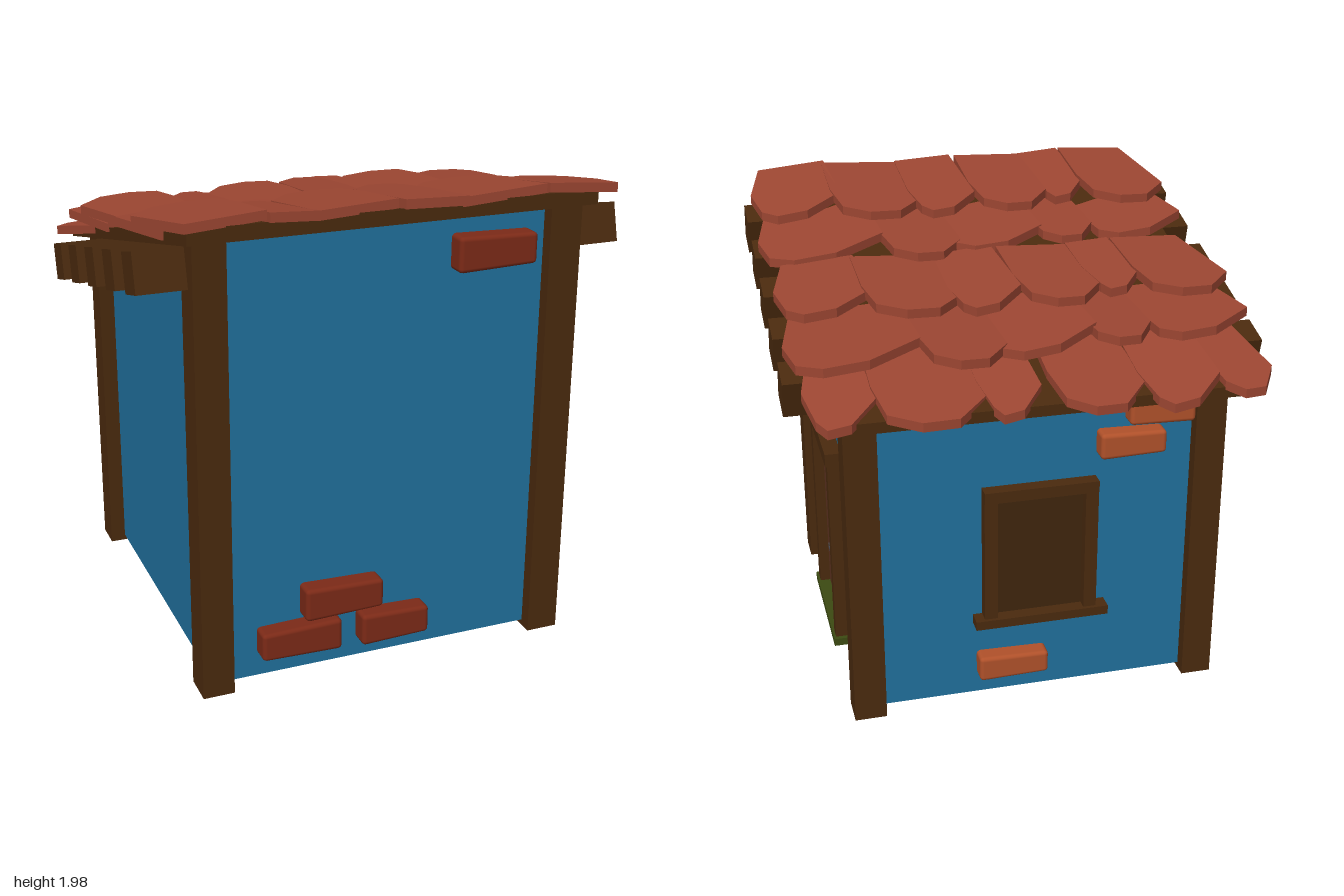
import * as THREE from 'three';
import { RoundedBoxGeometry } from 'three/addons/geometries/RoundedBoxGeometry.js';

const mat = (color, flatShading = false) => new THREE.MeshStandardMaterial({ color, flatShading });
const wallMat = mat(0x20709c);
const woodMat = mat(0x4a2a0e);
const paneMat = mat(0x3f250d);
const doorMat = mat(0x5e3320);
const tileMat = mat(0x9c4632, true);
const redBrick = mat(0x7c2a17);
const orangeBrick = mat(0xb0512a);
const sillMat = mat(0x3c4a12);
const metalMat = mat(0x50505a);

const SLOPE = 0.253;
const roofY = (z) => 1.657 + SLOPE * z; // underside of the roof board

export function createModel() {
  const house = new THREE.Group();
  house.name = 'house';

  const add = (name, geometry, material, parent = house) => {
    const mesh = new THREE.Mesh(geometry, material);
    mesh.name = name;
    parent.add(mesh);
    return mesh;
  };
  const group = (name) => {
    const g = new THREE.Group();
    g.name = name;
    house.add(g);
    return g;
  };
  // Box given by its limits on each axis
  const box = (name, [x0, x1], [y0, y1], [z0, z1], material, parent) => {
    const mesh = add(name, new THREE.BoxGeometry(x1 - x0, y1 - y0, z1 - z0), material, parent);
    mesh.position.set((x0 + x1) / 2, (y0 + y1) / 2, (z0 + z1) / 2);
    return mesh;
  };
  // Side profile of (z, y) points, extruded from x0 to x1
  const prism = (name, points, x0, x1, material, parent) => {
    const shape = new THREE.Shape(points.map(([z, y]) => new THREE.Vector2(z, y)));
    const geo = new THREE.ExtrudeGeometry(shape, { depth: x1 - x0, bevelEnabled: false });
    geo.rotateY(-Math.PI / 2).translate(x1, 0, 0);
    return add(name, geo, material, parent);
  };
  const underRoof = (z0, z1, y) => [[z0, y], [z1, y], [z1, roofY(z1)], [z0, roofY(z0)]];

  // Walls and corner posts, all cut to the roof pitch
  prism('walls', underRoof(-0.61, 0.875, 0.025), -0.735, 0.735, wallMat);
  const posts = group('cornerPosts');
  for (const [x0, x1] of [[-0.8, -0.67], [0.655, 0.79]])
    for (const [z0, z1] of [[-0.665, -0.53], [0.79, 0.93]])
      prism('cornerPost', underRoof(z0, z1, 0), x0, x1, woodMat, posts);

  // Roof board and the rafters below it
  prism('roofBoard', [
    [-0.89, roofY(-0.89)], [0.975, roofY(0.975) - 0.03],
    [0.975, roofY(0.975) + 0.03], [-0.89, roofY(-0.89) + 0.045],
  ], -0.83, 0.83, woodMat);
  const rafters = group('rafters');
  for (let i = 0; i < 5; i++) {
    const rafter = add('rafter', new THREE.BoxGeometry(1.99, 0.158, 0.15), woodMat, rafters);
    rafter.position.set(0, 1.74 - i * 0.0725, 0.782 - i * 0.304);
    rafter.rotation.x = -0.256;
  }

  // Roof tiles: each row has uphill z and y, tip y, and tiles of [x0, x1, tip z]
  const rowA = [[-0.92, -0.53, 0.41], [-0.55, -0.33, 0.48], [-0.36, -0.015, 0.41],
    [-0.02, 0.27, 0.4], [0.22, 0.62, 0.42], [0.58, 0.97, 0.49]];
  const rowB = [[-0.92, -0.48, 0.16], [-0.5, -0.22, 0.15], [-0.26, 0.18, 0.12],
    [0.12, 0.46, 0.06], [0.45, 0.98, 0.13]];
  const rowC = [[-0.92, -0.66, -0.95], [-0.68, -0.37, -1.0], [-0.38, -0.01, -0.97],
    [0.03, 0.27, -0.95], [0.25, 0.68, -0.96], [0.67, 0.94, -0.93]];
  const shift = (row, dz) => row.map(([a, b, z]) => [a, b, z + dz]);
  const rows = [
    { z: 0.98, y: 1.965, tipY: 1.885, tiles: rowA },
    { z: 0.68, y: 1.85, tipY: 1.8, tiles: rowB },
    { z: 0.14, y: 1.775, tipY: 1.73, tiles: shift(rowA, -0.84) },
    { z: -0.16, y: 1.67, tipY: 1.64, tiles: shift(rowB, -0.83) },
    { z: -0.42, y: 1.605, tipY: 1.485, tiles: rowC },
  ];
  const tiles = group('roofTiles');
  const thick = 0.038;
  rows.forEach((row, r) => row.tiles.forEach(([x0, x1, tip], i) => {
    const w = x1 - x0, mid = (x0 + x1) / 2;
    const up = row.z + (i % 2) * 0.012;
    const inL = i === 0 ? 0.08 : 0.025;
    const inR = i === row.tiles.length - 1 ? 0.06 : 0;
    const apex = 0.42 + 0.12 * ((i + r) % 2);
    const outline = [
      [x0 + inL, up], [x1 - inR, up - 0.01], [x1, tip + 0.24], [x1 - 0.03, tip + 0.06],
      [x0 + w * (apex + 0.22), tip], [x0 + w * (apex - 0.12), tip + 0.015], [x0, tip + 0.15],
    ].map(([x, z]) => new THREE.Vector2(x, -z));
    // Wind the outline so that the faces look outward
    const geo = new THREE.ExtrudeGeometry(new THREE.Shape(outline), { depth: thick, bevelEnabled: false });
    geo.rotateX(-Math.PI / 2);
    // Lay the tile on the pitch with a slight sideways roll
    const roll = [0.07, -0.06, 0.05, -0.04, 0.06, -0.08][(i + r) % 6];
    const p = geo.attributes.position;
    for (let k = 0; k < p.count; k++) {
      const t = (row.z - p.getZ(k)) / (row.z - tip);
      const y = row.y + (row.tipY - row.y) * t + roll * (p.getX(k) - mid);
      p.setY(k, y - thick + p.getY(k));
    }
    geo.computeVertexNormals();
    add('roofTile', geo, tileMat, tiles);
  }));

  // Bricks showing through the plaster, each a little lower at one end
  const brick = (x, y, z, w, h, taper, material, parent) => {
    const geo = new RoundedBoxGeometry(w, h, 0.13, 2, 0.018);
    const p = geo.attributes.position;
    for (let k = 0; k < p.count; k++)
      p.setY(k, p.getY(k) * (1 - 0.07 + 0.14 * taper * p.getX(k) / w));
    add('brick', geo, material, parent).position.set(x, y, z);
  };
  const frontBricks = group('frontBricks');
  brick(-0.203, 0.335, 0.89, 0.335, 0.142, -1, redBrick, frontBricks);
  brick(-0.385, 0.183, 0.89, 0.34, 0.137, 1, redBrick, frontBricks);
  brick(0.022, 0.173, 0.89, 0.295, 0.137, -1, redBrick, frontBricks);
  brick(0.422, 1.717, 0.89, 0.335, 0.145, -1, redBrick, frontBricks);
  const backBricks = group('backBricks');
  brick(0.1, 0.175, -0.62, 0.3, 0.115, 1, orangeBrick, backBricks);
  brick(-0.4, 1.165, -0.62, 0.28, 0.115, 1, orangeBrick, backBricks);
  brick(-0.52, 1.3, -0.62, 0.28, 0.115, -1, orangeBrick, backBricks);

  // Plank above the door
  const plank = add('plank', new RoundedBoxGeometry(0.1, 0.2, 0.9, 2, 0.02), woodMat);
  plank.position.set(0.74, 1.27, 0.13);

  // Door on the right side
  const door = group('door');
  box('doorPanel', [0.7, 0.75], [0.1, 0.97], [-0.1, 0.36], doorMat, door);
  for (const [z0, z1] of [[0.355, 0.415], [-0.155, -0.097]])
    box('doorJamb', [0.7, 0.795], [0.1, 0.96], [z0, z1], woodMat, door);
  box('doorLintel', [0.7, 0.805], [0.96, 1.02], [-0.175, 0.44], woodMat, door);
  box('doorSill', [0.7, 0.805], [0.065, 0.1], [-0.175, 0.44], sillMat, door);
  box('doorHandle', [0.772, 0.787], [0.465, 0.488], [-0.085, 0.022], metalMat, door);
  box('handleStem', [0.74, 0.78], [0.468, 0.485], [-0.08, -0.06], metalMat, door);

  // Window on the back
  const win = group('window');
  box('windowPane', [-0.22, 0.18], [0.41, 0.97], [-0.622, -0.58], paneMat, win);
  for (const [x0, x1] of [[0.17, 0.225], [-0.26, -0.205]])
    box('windowJamb', [x0, x1], [0.41, 0.97], [-0.665, -0.58], woodMat, win);
  box('windowLintel', [-0.26, 0.225], [0.96, 1.01], [-0.67, -0.58], woodMat, win);
  box('windowSill', [-0.31, 0.265], [0.375, 0.415], [-0.68, -0.58], woodMat, win);

  return house;
}
